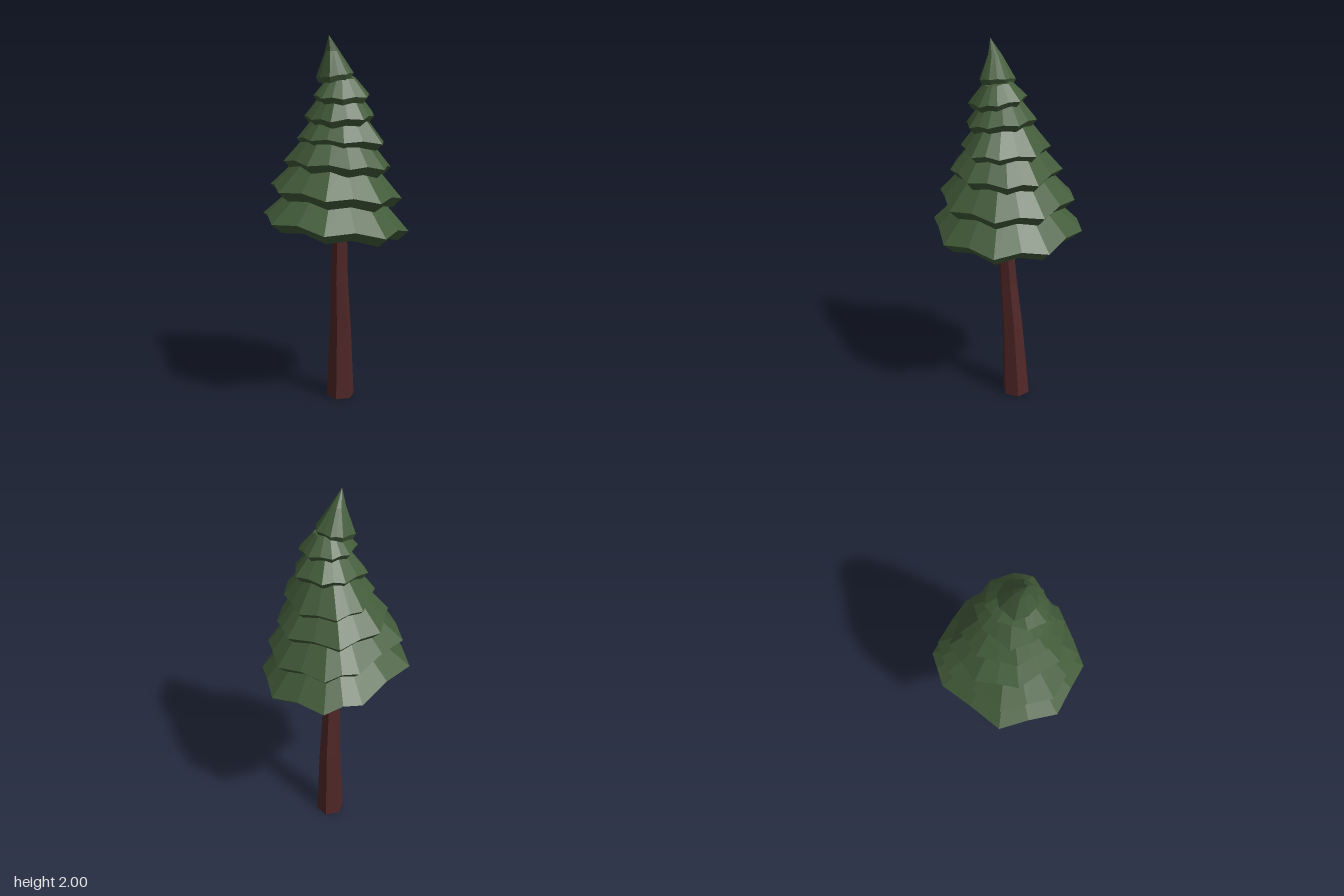
import * as THREE from 'three';

const green = new THREE.MeshStandardMaterial({ color: 0x435c3a, flatShading: true, side: THREE.DoubleSide });
const brown = new THREE.MeshStandardMaterial({ color: 0x502727, flatShading: true });

// Skin a list of closed rings, ordered from top to bottom
function loft(rings, name, material) {
  const n = rings[0].length, index = [];
  for (let r = 0; r < rings.length - 1; r++) {
    for (let i = 0; i < n; i++) {
      const j = (i + 1) % n, a = r * n, b = a + n;
      index.push(a + i, a + j, b + j, a + i, b + j, b + i);
    }
  }
  const indexed = new THREE.BufferGeometry().setFromPoints(rings.flat());
  indexed.setIndex(index);
  const geometry = indexed.toNonIndexed();
  geometry.computeVertexNormals();
  const mesh = new THREE.Mesh(geometry, material);
  mesh.name = name;
  return mesh;
}

// Eight corners on an uneven oval
function oval(cx, cz, rx, rz, phase) {
  return Array.from({ length: 8 }, (_, i) => {
    const a = phase + (i * Math.PI) / 4 + 0.1 * Math.sin(i * 2.3);
    const k = 1 + 0.05 * Math.sin(i * 3.7 + phase * 5);
    return [cx + rx * k * Math.cos(a), cz + rz * k * Math.sin(a)];
  });
}

const skirt = [[0.385, 0.09], [0.21, 0.315], [-0.085, 0.37], [-0.35, 0.18],
  [-0.39, -0.13], [-0.19, -0.37], [0.195, -0.345], [0.355, -0.225]];
const middle = [[0.285, 0.06], [0.2, 0.2], [0.01, 0.29], [-0.18, 0.215],
  [-0.285, 0.02], [-0.2, -0.21], [0, -0.305], [0.22, -0.22]];

// One branch layer: drooping corners, raised midpoints, a slanted lip and a hollow underside
function tier(name, t) {
  const cx = t.cx ?? 0, cz = t.cz ?? 0;
  const height = (x, z) => t.y + t.tiltX * (x - cx) + t.tiltZ * (z - cz);
  const rim = t.corners.flatMap(([x, z], i) => {
    const [nx, nz] = t.corners[(i + 1) % 8];
    const mx = (x + nx) / 2, mz = (z + nz) / 2;
    return [new THREE.Vector3(x, height(x, z), z), new THREE.Vector3(mx, height(mx, mz) + t.lift, mz)];
  });
  const ring = (scale, dy, flat = 0, ox = cx, oz = cz) => rim.map((p) => new THREE.Vector3(
    ox + (p.x - cx) * scale, THREE.MathUtils.lerp(p.y, t.y, flat) + dy, oz + (p.z - cz) * scale));
  const top = t.tip
    ? [ring(0, t.tip[1] - t.y, 1, t.tip[0], t.tip[2]),
      ring(0.38, (t.tip[1] - t.y) * 0.6, 0.8, cx - 0.02, cz - 0.005)]
    : [ring(0.02, t.rise * 1.15, 1), ring(0.5, t.rise, 0.5)];
  return loft([...top, rim, ring(0.85, -t.lip), ring(0.06, t.rise, 1)], name, green);
}

export function createModel() {
  const tree = new THREE.Group();
  tree.name = 'pineTree';

  // Bent, tapering six-sided trunk: centre x, y, z, radius
  const ring = ([x, y, z, r]) => Array.from({ length: 6 }, (_, i) => {
    const a = 0.7 + (i * Math.PI) / 3;
    return new THREE.Vector3(x + r * Math.cos(a), y, z + r * Math.sin(a));
  });
  const sections = [[0.008, 1.2, 0, 0], [0.008, 1.2, 0, 0.036], [0.013, 0.95, 0, 0.041],
    [0.025, 0.68, -0.014, 0.05], [0.047, 0.42, -0.022, 0.06],
    [0.065, 0, -0.035, 0.078], [0.065, 0, -0.035, 0]];
  tree.add(loft(sections.map(ring), 'trunk', brown));

  // Foliage, lowest layer first
  const foliage = new THREE.Group();
  foliage.name = 'foliage';
  const layers = [
    { corners: skirt, y: 1.015, tiltX: -0.07, tiltZ: -0.08, lift: 0.025, lip: 0.05, rise: 0.2 },
    { corners: skirt.map(([x, z]) => [x * 0.895, z * 0.895]), y: 1.185, tiltX: -0.06, tiltZ: -0.07,
      lift: 0.02, lip: 0.05, rise: 0.19 },
    { corners: middle, y: 1.335, tiltX: -0.07, tiltZ: -0.03, lift: 0.015, lip: 0.045, rise: 0.17 },
    { corners: oval(0.01, 0.01, 0.225, 0.245, 0.05), cx: 0.01, cz: 0.01, y: 1.46, tiltX: -0.06, tiltZ: -0.02,
      lift: 0.012, lip: 0.035, rise: 0.15 },
    { corners: oval(-0.005, 0.02, 0.185, 0.185, 0.35), cx: -0.005, cz: 0.02, y: 1.59, tiltX: 0.1, tiltZ: -0.03,
      lift: 0.01, lip: 0.035, rise: 0.12 },
    { corners: oval(-0.017, 0.035, 0.158, 0.145, 0.0), cx: -0.017, cz: 0.035, y: 1.7, tiltX: 0.09, tiltZ: -0.09,
      lift: 0.008, lip: 0.03, rise: 0.085 },
    { corners: oval(-0.035, 0.01, 0.095, 0.1, 0.4), cx: -0.035, cz: 0.01, y: 1.8, tiltX: 0.12, tiltZ: 0.08,
      lift: 0.004, lip: 0.03, rise: 0.04, tip: [-0.085, 2, 0.005] },
  ];
  layers.forEach((layer, i) => foliage.add(tier(`branchLayer${i + 1}`, layer)));
  tree.add(foliage);
  return tree;
}
